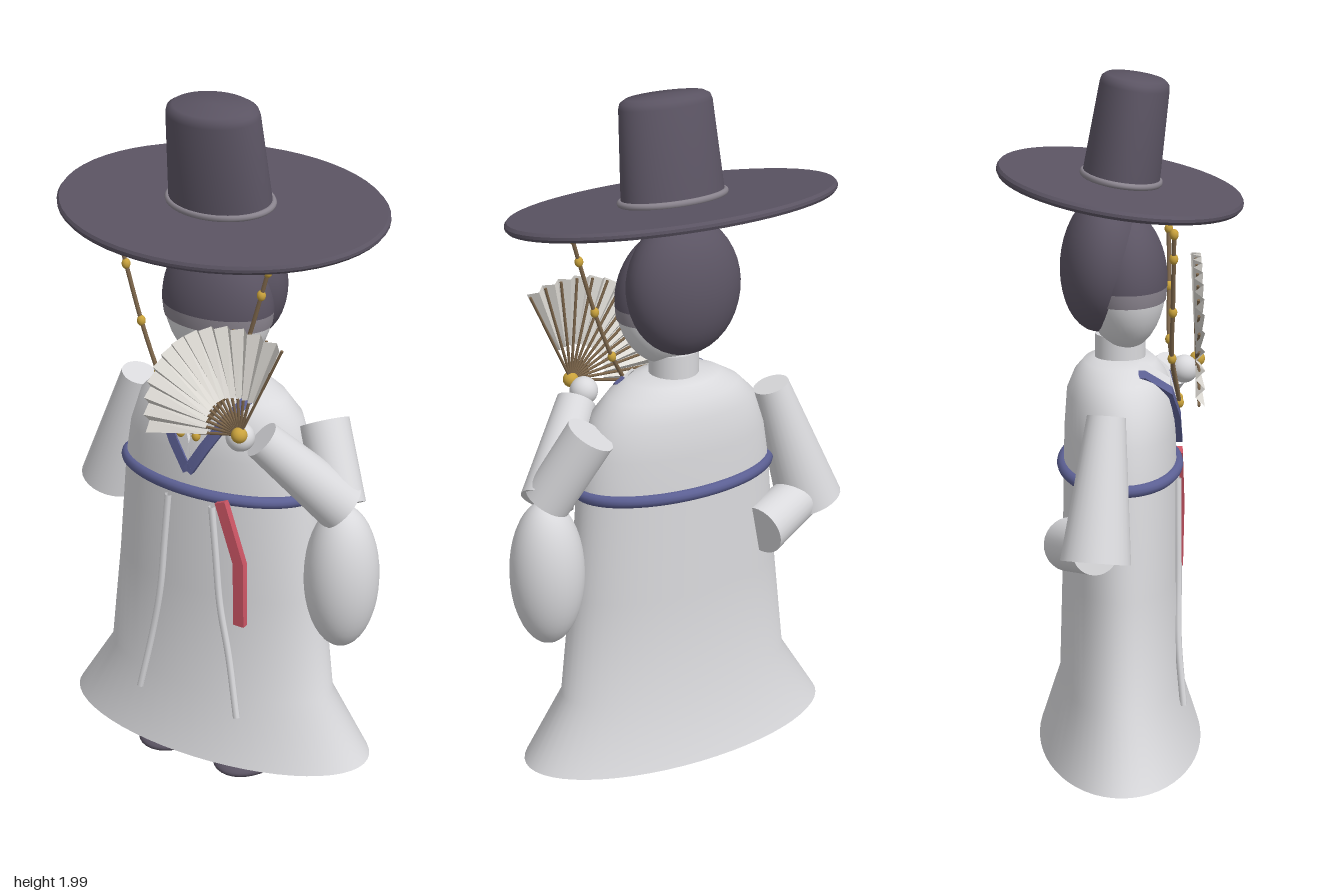
import * as THREE from 'three';
import { toCreasedNormals } from 'three/addons/utils/BufferGeometryUtils.js';

const paint = (name, color, extra = {}) => {
  const m = new THREE.MeshStandardMaterial({ color, ...extra });
  m.name = name;
  return m;
};
const V = (x, y, z) => new THREE.Vector3(x, y, z);

// Robe cross-sections: [half width, height, half depth]
const SECTIONS = [
  [0.485, 0.1, 0.232], [0.365, 0.29, 0.172], [0.33, 0.6, 0.163], [0.303, 0.91, 0.158],
  [0.285, 1.02, 0.155], [0.25, 1.12, 0.148], [0.2, 1.17, 0.128], [0.14, 1.205, 0.1], [0.07, 1.215, 0.065],
];
function sectionAt(y) {
  let i = 0;
  while (i < SECTIONS.length - 2 && y > SECTIONS[i + 1][1]) i++;
  const a = SECTIONS[i], b = SECTIONS[i + 1];
  const t = THREE.MathUtils.clamp((y - a[1]) / (b[1] - a[1]), 0, 1);
  return [a[0] + (b[0] - a[0]) * t, a[2] + (b[2] - a[2]) * t];
}
// Depth of the robe's front surface
function frontZ(x, y) {
  const [rx, rz] = sectionAt(y);
  return rz * Math.sqrt(Math.max(0, 1 - (x / rx) ** 2));
}

export function createModel() {
  const cloth = paint('white cloth', 0xd9d9dc);
  const clothOpen = paint('white sleeve cloth', 0xd9d9dc, { side: THREE.DoubleSide });
  const dark = paint('dark horsehair', 0x5b5463);
  const band = paint('headband grey', 0x8a848e);
  const blue = paint('blue trim', 0x5c6094);
  const red = paint('red ribbon', 0xcb5564);
  const gold = paint('gold', 0xc9a23c);
  const brown = paint('bamboo brown', 0x7d664b);
  const paper = paint('fan paper', 0xdedbd5, { side: THREE.DoubleSide });
  const root = new THREE.Group();
  root.name = 'robedFigure';

  const add = (name, geo, mat, parent = root) => {
    const m = new THREE.Mesh(geo, mat);
    m.name = name;
    parent.add(m);
    return m;
  };
  const ball = (name, mat, c, r, parent = root) => {
    const m = add(name, new THREE.SphereGeometry(1, 32, 20), mat, parent);
    m.position.set(...c);
    m.scale.set(...r);
    return m;
  };
  const limb = (name, mat, a, b, ra, rb, sides = 28, parent = root) => {
    const d = b.clone().sub(a);
    const m = add(name, new THREE.CylinderGeometry(rb, ra, d.length(), sides), mat, parent);
    m.position.copy(a).addScaledVector(d, 0.5);
    m.quaternion.setFromUnitVectors(V(0, 1, 0), d.normalize());
    return m;
  };
  // Flat strip following a path on the front, with its width lying in the xy plane
  const strip = (name, mat, pts, width, depth) => {
    const offset = (p, i) => {
      const d = pts[Math.min(i + 1, pts.length - 1)].clone().sub(pts[Math.max(i - 1, 0)]).setZ(0).normalize();
      return V(-d.y, d.x, 0).multiplyScalar(width / 2);
    };
    const pos = [], idx = [];
    pts.forEach((p, i) => {
      const o = offset(p, i);
      for (const [s, z] of [[1, depth], [-1, depth], [-1, 0], [1, 0]]) pos.push(p.x + o.x * s, p.y + o.y * s, p.z + z);
      if (i) for (let k = 0; k < 4; k++) {
        const a = (i - 1) * 4 + k, b = (i - 1) * 4 + (k + 1) % 4;
        idx.push(a, a + 4, b, b, a + 4, b + 4);
      }
    });
    const e = pos.length / 3 - 4;
    idx.push(0, 1, 2, 0, 2, 3, e, e + 2, e + 1, e, e + 3, e + 2);
    const g = new THREE.BufferGeometry();
    g.setAttribute('position', new THREE.Float32BufferAttribute(pos, 3));
    g.setIndex(idx);
    const m = add(name, toCreasedNormals(g, 0.6), mat);
    m.material.side = THREE.DoubleSide;
    return m;
  };

  // Robe: an oval turned body with a flared hem, closed above and below
  const profile = [[0, 0.1], ...SECTIONS, [0, 1.215]].map(([x, y]) => new THREE.Vector2(x, y));
  const robe = new THREE.LatheGeometry(profile, 56, Math.PI);
  const rp = robe.attributes.position;
  for (let i = 0; i < rp.count; i++) {
    const [rx, rz] = sectionAt(rp.getY(i));
    rp.setZ(i, rp.getZ(i) * rz / rx);
  }
  add('robe', toCreasedNormals(robe, 0.7), cloth);

  // Waist cord
  const belt = add('waistCord', new THREE.TorusGeometry(0.29, 0.017, 12, 64), blue);
  belt.geometry.rotateX(Math.PI / 2);
  const bp = belt.geometry.attributes.position, bn = belt.geometry.attributes.normal;
  for (let i = 0; i < bp.count; i++) {
    const a = Math.atan2(bp.getZ(i), bp.getX(i)), out = Math.hypot(bp.getX(i), bp.getZ(i)) - 0.29;
    bp.setXYZ(i, Math.cos(a) * (0.3 + out), bp.getY(i), Math.sin(a) * (0.16 + out));
  }
  bn.needsUpdate = true;
  belt.position.y = 0.91;

  // Skirt folds, shoes and collar, mirrored
  for (const s of [-1, 1]) {
    const fold = [[0.072, 0.88], [0.085, 0.74], [0.1, 0.58], [0.13, 0.42], [0.165, 0.24]]
      .map(([x, y]) => V(s * x, y, frontZ(x, y) + 0.006));
    add('skirtFold', new THREE.TubeGeometry(new THREE.CatmullRomCurve3(fold), 24, 0.01, 8), cloth);
    ball('shoe', dark, [s * 0.13, 0.042, 0.035], [0.1, 0.034, 0.145]);
    const edge = (dx, lift) => [[0.14, 1.195], [0.105, 1.14], [0.05, 1.055], [0, 0.975]]
      .map(([x, y]) => V(s * Math.max(x - dx, 0), y + dx * 0.6, frontZ(x, y) + lift));
    strip('collarLining', cloth, edge(0.028, 0), 0.035, 0.012);
    strip('collarTrim', blue, edge(0, 0), 0.03, 0.018);
  }

  // Hanging red ribbon
  strip('ribbon', red, [V(0.11, 0.91, 0.16), V(0.175, 0.74, 0.168), V(0.175, 0.545, 0.165)], 0.034, 0.02);

  // Right arm, bent behind the back
  const elbowR = V(-0.42, 0.75, -0.07);
  limb('rightUpperSleeve', clothOpen, V(-0.3, 1.12, -0.04), elbowR, 0.052, 0.095);
  limb('rightForeSleeve', clothOpen, V(-0.41, 0.78, -0.07), V(-0.2, 0.73, -0.14), 0.065, 0.075);

  // Left arm, raised with a hanging sleeve bag
  const elbowL = V(0.4, 0.91, 0.015);
  limb('leftUpperSleeve', clothOpen, V(0.3, 1.11, -0.055), elbowL, 0.07, 0.068);
  limb('leftForeSleeve', clothOpen, elbowL, V(0.225, 1.12, 0.15), 0.075, 0.055);
  ball('leftSleeveBag', cloth, [0.405, 0.695, 0.015], [0.105, 0.215, 0.105]);
  ball('hand', cloth, [0.18, 1.13, 0.185], [0.04, 0.04, 0.04]);

  // Neck, head, headband and hair
  limb('neck', cloth, V(0, 1.18, 0), V(0, 1.28, 0), 0.07, 0.07);
  const headZone = (name, mat, top, bottom, grow) => {
    const t0 = Math.acos(top), t1 = Math.acos(bottom);
    const m = add(name, new THREE.SphereGeometry(1, 40, 18, 0, Math.PI * 2, t0, t1 - t0), mat);
    m.position.set(0, 1.425, 0.015);
    m.scale.set(0.162 + grow, 0.19 + grow, 0.112 + grow);
  };
  headZone('face', cloth, 1, -1, 0);
  headZone('headband', band, -0.04, -0.24, 0.003);
  headZone('frontHair', dark, 1, -0.04, 0.004);
  ball('backHair', dark, [0, 1.478, -0.05], [0.17, 0.192, 0.115]).rotation.x = 0.08;

  // Oval hat tilted forward
  const hat = new THREE.Group();
  hat.name = 'hat';
  hat.position.set(0, 1.695, 0);
  hat.rotation.x = 0.146;
  root.add(hat);
  const oval = new THREE.Group();
  oval.name = 'ovalHat';
  oval.scale.z = 0.7;
  hat.add(oval);
  const lathe = (name, mat, pts, crease) => add(name,
    toCreasedNormals(new THREE.LatheGeometry(pts.map(p => new THREE.Vector2(...p)), 56), crease), mat, oval);
  lathe('brim', dark, [[0, -0.012], [0.478, -0.012], [0.485, -0.004], [0.485, 0.004], [0.478, 0.012], [0, 0.012]], 0.6);
  lathe('crown', dark, [[0.153, 0], [0.136, 0.27], [0.131, 0.285], [0.115, 0.294], [0, 0.298]], 0.8);
  const ring = add('crownRing', new THREE.TorusGeometry(0.154, 0.009, 10, 56), band, oval);
  ring.rotation.x = Math.PI / 2;
  ring.position.y = 0.02;

  // Beaded chin cords
  for (const s of [-1, 1]) {
    const pts = [[0.235, 1.6], [0.215, 1.53], [0.168, 1.375], [0.115, 1.235], [0.025, 1.085]];
    const curve = new THREE.CatmullRomCurve3(pts.map(([x, y]) => V(s * x, y, y < 1.15 ? 0.165 : 0.14)));
    add('chinCord', new THREE.TubeGeometry(curve, 32, 0.006, 8), brown);
    for (const t of [0, 0.13, 0.42, 0.69, 1]) {
      const p = curve.getPointAt(t);
      ball('cordBead', gold, p.toArray(), [0.012, 0.015, 0.012]);
    }
  }

  // Folding fan: pleated paper over bamboo ribs
  const fan = new THREE.Group();
  fan.name = 'fan';
  fan.position.set(0.2, 1.155, 0.22);
  root.add(fan);
  const A0 = 65 * Math.PI / 180, A1 = 192 * Math.PI / 180, PLEATS = 26, pos = [], idx = [];
  for (let i = 0; i <= PLEATS; i++) {
    const a = A0 + (A1 - A0) * i / PLEATS, z = i % 2 ? -0.014 : 0.012;
    for (const r of [0.105, 0.302]) pos.push(Math.cos(a) * r, Math.sin(a) * r, z * (r > 0.2 ? 1 : 0.5));
    if (i) idx.push(2 * i - 2, 2 * i - 1, 2 * i, 2 * i, 2 * i - 1, 2 * i + 1);
    if (i % 2 === 0) {
      const tip = V(Math.cos(a) * 0.298, Math.sin(a) * 0.298, -0.004);
      limb('fanRib', brown, V(0, 0, 0), tip, 0.004, 0.004, 6, fan);
    }
  }
  const leaf = new THREE.BufferGeometry();
  leaf.setAttribute('position', new THREE.Float32BufferAttribute(pos, 3));
  leaf.setIndex(idx);
  add('fanLeaf', toCreasedNormals(leaf, 0.1), paper, fan);
  ball('fanPivot', gold, [0, 0, 0.003], [0.022, 0.022, 0.022], fan);
  return root;
}
